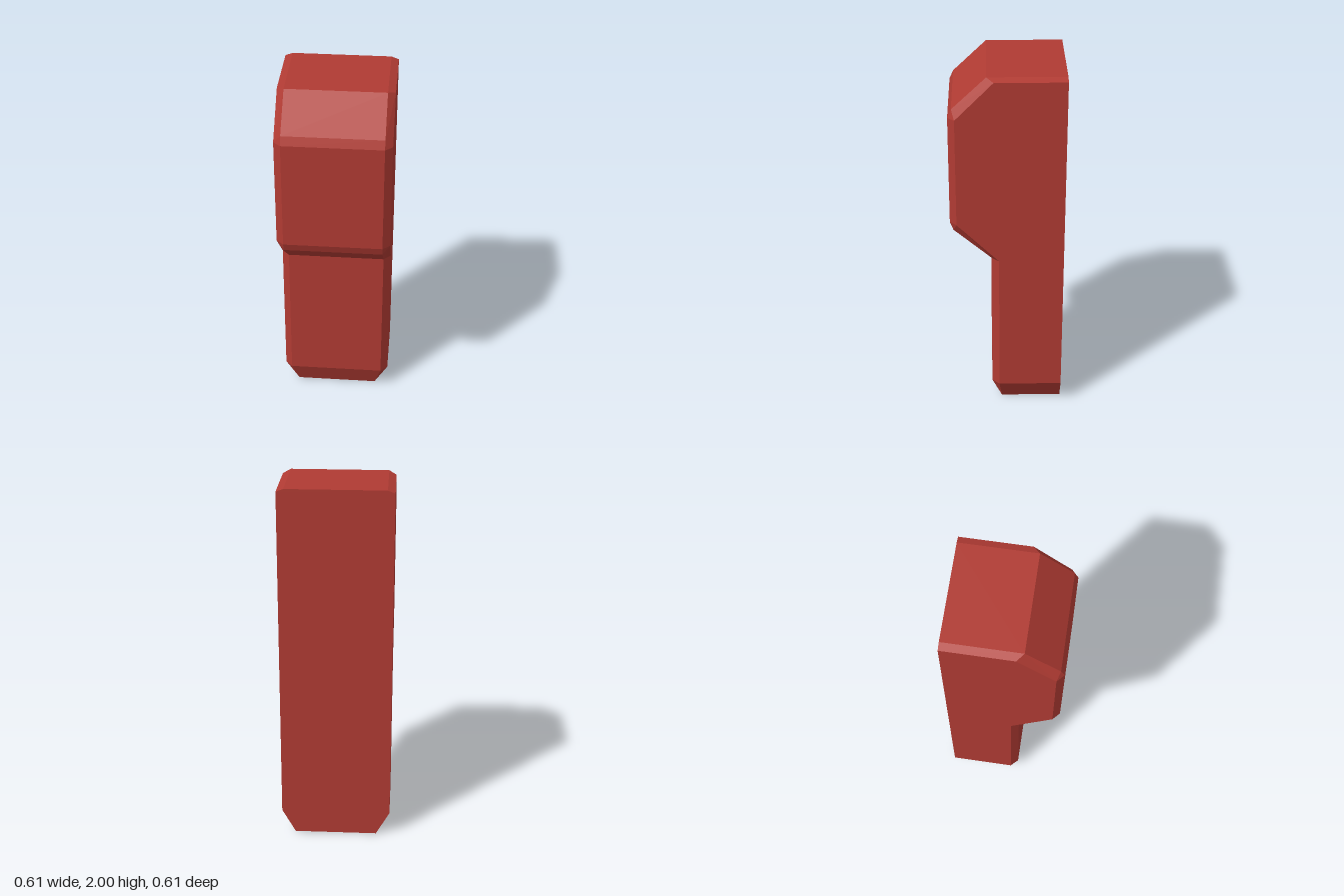
import * as THREE from 'three';

const BACK = -0.305;

// Sections from bottom to top:
// [side x, side y, side z, front x, front y, front z]; side to front is the chamfer.
const SECTIONS = [
  [0.228, 0, 0.03, 0.228, 0, 0.03],
  [0.303, 0.135, 0.045, 0.264, 0.135, 0.085],
  [0.303, 0.953, 0.045, 0.264, 0.953, 0.085],
  [0.303, 1.178, 0.27, 0.264, 1.13, 0.288],
  [0.303, 1.178, 0.27, 0.264, 1.178, 0.306],
  [0.303, 1.782, 0.27, 0.264, 1.782, 0.306],
  [0.303, 1.782, 0.27, 0.264, 1.828, 0.286],
  [0.303, 1.985, 0.07, 0.264, 2, 0.106],
  [0.264, 2, 0.106, 0.264, 2, 0.106],
];

// Six corners, counterclockwise seen from above
function ring([sx, sy, sz, fx, fy, fz]) {
  return [
    [sx, sy, BACK], [-sx, sy, BACK], [-sx, sy, sz],
    [-fx, fy, fz], [fx, fy, fz], [sx, sy, sz],
  ].map((p) => new THREE.Vector3(...p));
}

function loftGeometry(sections) {
  const rings = sections.map(ring);
  const points = [];
  const tri = (a, b, c) => {
    if (new THREE.Triangle(a, b, c).getArea() > 1e-7) points.push(a, b, c);
  };
  // Walls between neighbouring sections
  for (let r = 0; r < rings.length - 1; r++) {
    const lo = rings[r], hi = rings[r + 1];
    for (let i = 0; i < 6; i++) {
      const j = (i + 1) % 6;
      tri(lo[i], lo[j], hi[j]);
      tri(lo[i], hi[j], hi[i]);
    }
  }
  // Bottom and top caps
  const bottom = rings[0], top = rings[rings.length - 1];
  for (let i = 1; i < 5; i++) {
    tri(bottom[0], bottom[i + 1], bottom[i]);
    tri(top[0], top[i], top[i + 1]);
  }
  const geometry = new THREE.BufferGeometry().setFromPoints(points);
  geometry.computeVertexNormals(); // unshared corners give flat faces
  return geometry;
}

export function createModel() {
  const group = new THREE.Group();
  const red = new THREE.MeshStandardMaterial({ color: 0xb03b33 });
  red.name = 'brick red';
  const body = new THREE.Mesh(loftGeometry(SECTIONS), red);
  body.name = 'chamferedBody';
  group.add(body);
  return group;
}
